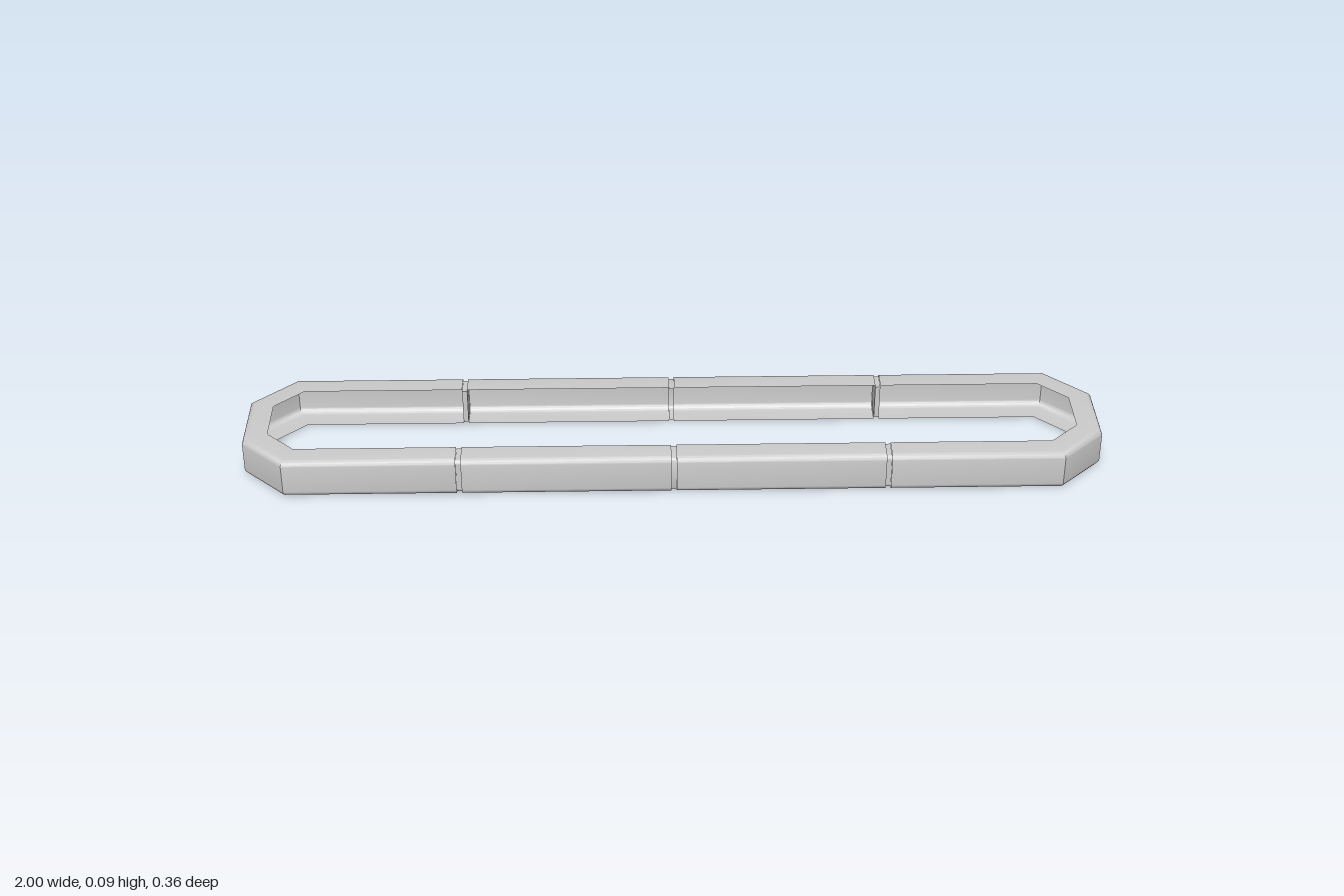
import * as THREE from 'three';
import { toCreasedNormals } from 'three/addons/utils/BufferGeometryUtils.js';

const H = 0.095, DEPTH = 0.057, R = 0.014;   // channel height, depth, corner radius
const HALF_Z = 0.18, END_X = 1, CORNER_X = 0.9, CORNER_Z = 0.083;
const JOINT = 0.495, GAP = 0.006;            // joint position, half gap width

const material = new THREE.MeshStandardMaterial({ color: 0xcccccc, side: THREE.DoubleSide });

// C-shaped section, open towards the middle of the ring: x = distance inward, y = height
function section(inset = 0) {
  const points = [new THREE.Vector2(DEPTH, H - inset)];
  const steps = 5, r = R - inset;
  for (const [cy, from] of [[H - R, Math.PI / 2], [R, Math.PI]]) {
    for (let i = 0; i <= steps; i++) {
      const a = from + (i / steps) * Math.PI / 2;
      points.push(new THREE.Vector2(R + r * Math.cos(a), cy + r * Math.sin(a)));
    }
  }
  points.push(new THREE.Vector2(DEPTH, inset));
  return points;
}

// Sweep the section along a path of [x, z] points, with mitred corners
function sweep(path, profile) {
  const normals = path.slice(1).map(([x, z], i) => {
    const dx = x - path[i][0], dz = z - path[i][1];
    return new THREE.Vector2(dz, -dx).normalize(); // inward
  });
  const positions = [], index = [], n = profile.length;
  path.forEach(([x, z], i) => {
    const a = normals[Math.max(i - 1, 0)], b = normals[Math.min(i, normals.length - 1)];
    const miter = a.clone().add(b).divideScalar(1 + a.dot(b));
    for (const p of profile) positions.push(x + miter.x * p.x, p.y, z + miter.y * p.x);
    if (i === path.length - 1) return;
    for (let j = 0; j < n - 1; j++) {
      const k = i * n + j;
      index.push(k, k + 1, k + n, k + 1, k + n + 1, k + n);
    }
  });
  const geometry = new THREE.BufferGeometry();
  geometry.setAttribute('position', new THREE.Float32BufferAttribute(positions, 3));
  geometry.setIndex(index);
  return toCreasedNormals(geometry, 0.6);
}

export function createModel() {
  const group = new THREE.Group();
  const add = (name, geometry) => {
    const mesh = new THREE.Mesh(geometry, material);
    mesh.name = name;
    group.add(mesh);
    return mesh;
  };

  const outer = section(), inner = section(0.004);
  const plate = new THREE.Shape(inner);

  // The s = -1 side is the s = 1 side turned half round
  for (const s of [1, -1]) {
    const side = s > 0 ? 'front' : 'back';
    const turned = (path) => path.map(([x, z]) => [s * x, s * z]);

    // Chamfered end of the ring with its two short arms
    const start = JOINT + GAP;
    add(s > 0 ? 'leftEnd' : 'rightEnd', sweep(turned([
      [start, HALF_Z], [CORNER_X, HALF_Z], [END_X, CORNER_Z],
      [END_X, -CORNER_Z], [CORNER_X, -HALF_Z], [start, -HALF_Z],
    ]), outer));

    // Two straight channels per side
    for (const [a, b] of [[-JOINT + GAP, -GAP], [GAP, JOINT - GAP]]) {
      add(side + 'Rail', sweep(turned([[a, HALF_Z], [b, HALF_Z]]), outer));
    }

    // Recessed strip in the middle joint
    add(side + 'MiddleJoint', sweep(turned([[-GAP, HALF_Z], [GAP, HALF_Z]]), inner));

    // Solid divider plates in the outer joints
    for (const x of [-JOINT, JOINT]) {
      const geometry = new THREE.ExtrudeGeometry(plate, { depth: 2 * GAP, bevelEnabled: false });
      const divider = add(side + 'Divider', geometry);
      divider.rotation.y = s * Math.PI / 2;
      divider.position.set(x - s * GAP, 0, s * HALF_Z);
    }
  }
  return group;
}
